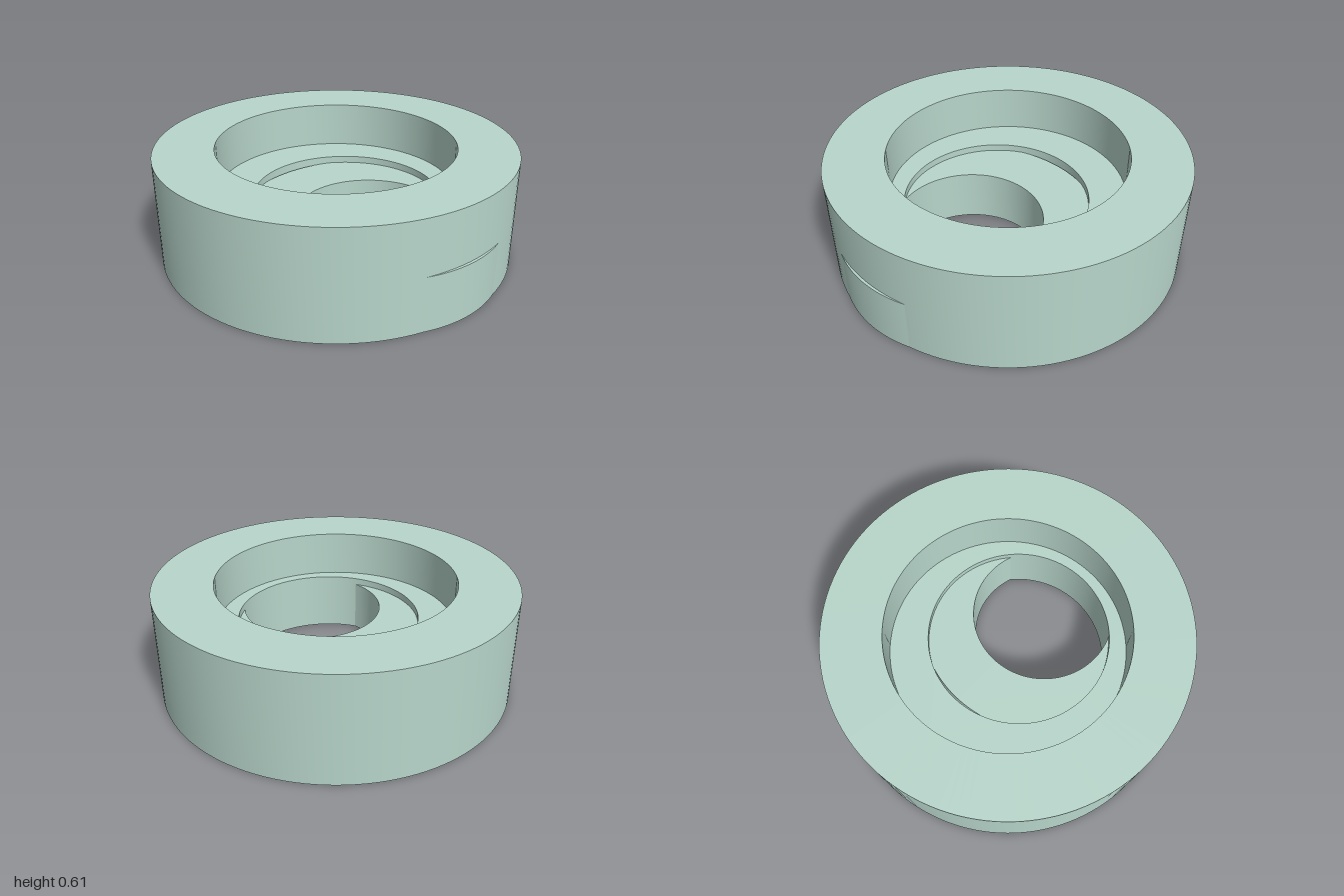
import * as THREE from 'three';
import { toCreasedNormals } from 'three/addons/utils/BufferGeometryUtils.js';

const SEG = 128;
const BODY = { r: 0.993, z: -0.007, height: 0.605 };
const BORE = { r: 0.664, floor: 0.342 };
const SEAT = { r: 0.513, z: 0.083 };                        // offset hole through the floor
const RING = { r: 0.707, hole: 0.402, z: 0.293, height: 0.302 };

// Disc with a round hole, drawn so that shape y becomes -z once laid flat
function annulus(r, z, holeR, holeZ) {
  const shape = new THREE.Shape().absarc(0, -z, r, 0, Math.PI * 2, false);
  shape.holes.push(new THREE.Path().absarc(0, -holeZ, holeR, 0, Math.PI * 2, true));
  return shape;
}

export function createModel() {
  const group = new THREE.Group();
  const material = new THREE.MeshStandardMaterial({ color: 0xb8d6cb });
  const inner = material.clone();
  inner.side = THREE.BackSide;

  function add(name, geometry, mat = material) {
    const mesh = new THREE.Mesh(geometry, mat);
    mesh.name = name;
    group.add(mesh);
    return mesh;
  }

  // Outer wall, top rim and bore wall
  const profile = [
    [BODY.r, 0], [BODY.r, BODY.height], [BORE.r, BODY.height], [BORE.r, BORE.floor],
  ].map(([x, y]) => new THREE.Vector2(x, y));
  const shell = toCreasedNormals(new THREE.LatheGeometry(profile, SEG), 0.6);
  add('bodyShell', shell).position.z = BODY.z;

  // Floor of the bore and underside, both pierced by the offset seat
  const floor = new THREE.ShapeGeometry(annulus(BORE.r, BODY.z, SEAT.r, SEAT.z), SEG / 2);
  add('boreFloor', floor.rotateX(-Math.PI / 2).translate(0, BORE.floor, 0));
  const base = new THREE.ShapeGeometry(annulus(BODY.r, BODY.z, SEAT.r, SEAT.z), SEG / 2);
  add('underside', base.rotateX(-Math.PI / 2), inner);

  // Wall of the offset seat
  const seat = new THREE.CylinderGeometry(SEAT.r, SEAT.r, BORE.floor, SEG, 1, true);
  add('seatWall', seat, inner).position.set(0, BORE.floor / 2, SEAT.z);

  // Eccentric ring let into the lower half, just proud of the body at the front
  const ring = new THREE.ExtrudeGeometry(annulus(RING.r, RING.z, RING.hole, RING.z), {
    depth: RING.height, bevelEnabled: false, curveSegments: SEG / 2,
  });
  add('eccentricRing', toCreasedNormals(ring.rotateX(-Math.PI / 2), 0.6));

  return group;
}
